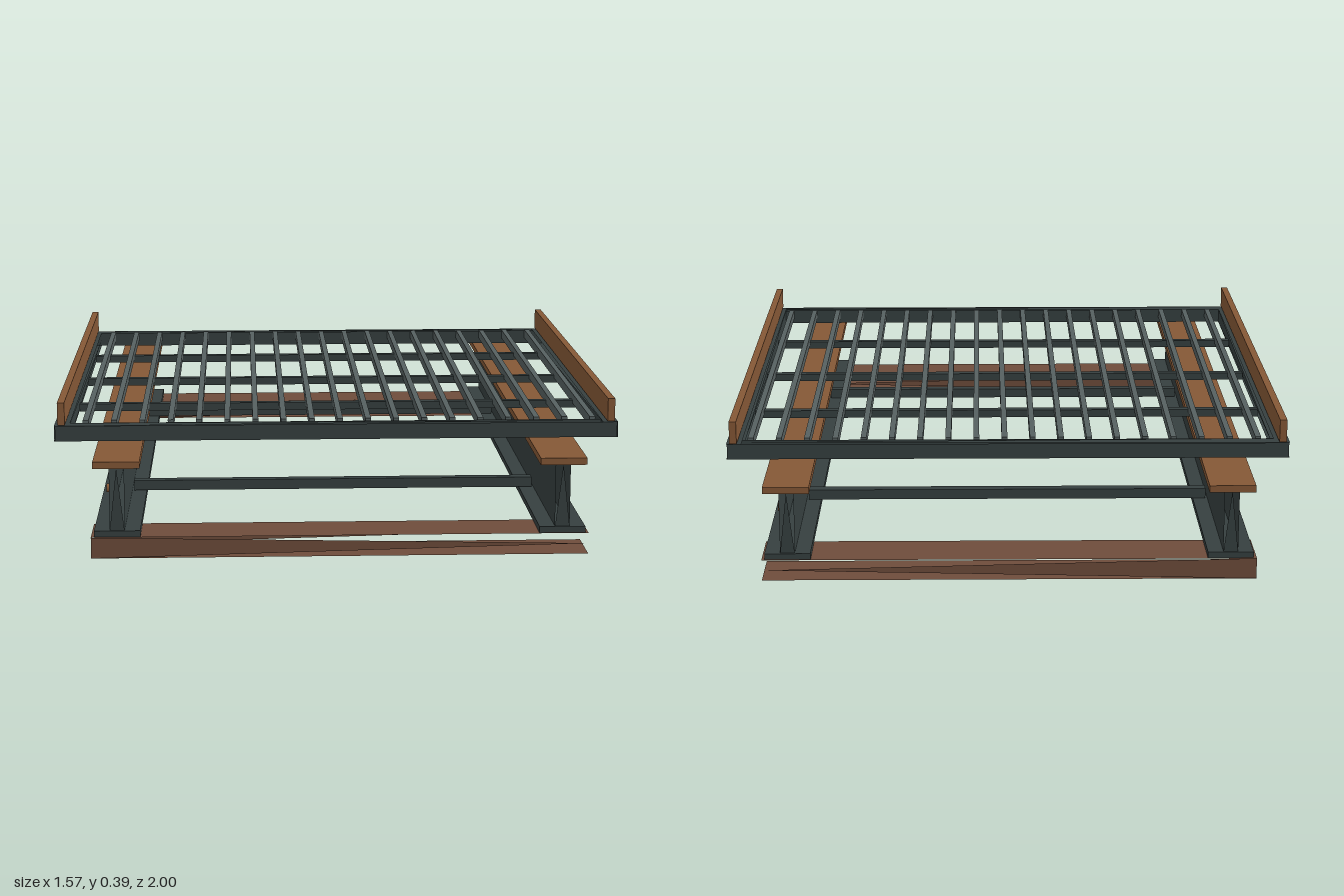
import * as THREE from 'three';

const mat = (name, color) => {
  const m = new THREE.MeshStandardMaterial({ color, side: THREE.DoubleSide });
  m.name = name;
  return m;
};

// Two parallel sheets (length x, gap y, width z) closed at the sides by long
// triangles; capped members also get a triangle over each end.
function openMember(length, gap, width, capped = false) {
  const a = length / 2, b = gap / 2, c = width / 2, pos = [];
  const tri = (...points) => points.forEach((p) => pos.push(...p));
  // upper and lower sheets
  tri([-a, b, c], [a, b, c], [a, b, -c], [-a, b, c], [a, b, -c], [-a, b, -c]);
  tri([-a, -b, -c], [a, -b, -c], [a, -b, c], [-a, -b, -c], [a, -b, c], [-a, -b, c]);
  // tapering sides
  tri([-a, b, c], [-a, -b, c], [a, 0, c]);
  tri([-a, -b, -c], [-a, b, -c], [a, 0, -c]);
  if (capped) {
    tri([a, b, c], [a, -b, 0], [a, b, -c]);
    tri([-a, b, -c], [-a, -b, 0], [-a, b, c]);
  }
  const g = new THREE.BufferGeometry();
  g.setAttribute('position', new THREE.Float32BufferAttribute(pos, 3));
  g.computeVertexNormals();
  return g;
}

export function createModel() {
  const steel = mat('dark steel', 0x364040);
  const slatSteel = mat('slat steel', 0x566060);
  const timber = mat('brown timber', 0x855836);
  const sleeperWood = mat('dull brown', 0x6e4c3b);

  const model = new THREE.Group();
  model.name = 'gratingPlatform';

  const add = (name, geometry, material, x, y, z) => {
    const mesh = new THREE.Mesh(geometry, material);
    mesh.name = name;
    mesh.position.set(x, y, z);
    model.add(mesh);
    return mesh;
  };
  // box given by its x and z centre, bottom and top height
  const box = (name, material, w, d, bottom, top, x, z) =>
    add(name, new THREE.BoxGeometry(w, top - bottom, d), material, x, (bottom + top) / 2, z);

  // sleepers under both ends
  for (const z of [-0.925, 0.925]) {
    add('sleeper', openMember(1.35, 0.058, 0.15), sleeperWood, 0, 0.029, z);
  }

  // the two long beams with their timber caps and bolts
  const webGeometry = openMember(0.174, 0.04, 1.98).rotateZ(Math.PI / 2);
  const boltGeometry = new THREE.CylinderGeometry(0.012, 0.012, 0.014, 8).rotateZ(Math.PI / 2);
  for (const side of [-1, 1]) {
    const x = side * 0.604;
    box('beamFoot', steel, 0.125, 1.99, 0.058, 0.075, x, 0);
    add('beamWeb', webGeometry, steel, x, 0.161, 0);
    box('beamCap', timber, 0.126, 2, 0.248, 0.267, x, 0);
    for (let i = -2; i <= 2; i++) {
      add('bolt', boltGeometry, timber, side * 0.632, 0.157, i * 0.42);
    }
  }

  // low ties between the beams
  for (const z of [-0.53, 0.525]) {
    box('lowerTie', steel, 1.155, 0.03, 0.077, 0.106, 0, z);
  }

  // grating frame
  const endRail = openMember(1.565, 0.042, 0.043, true).rotateX(Math.PI / 2);
  const sideRail = openMember(1.57, 0.043, 0.042).rotateY(Math.PI / 2);
  for (const side of [-1, 1]) {
    add('endRail', endRail, steel, 0, 0.299, side * 0.764);
    add('sideRail', sideRail, steel, side * 0.764, 0.299, 0);
    box('sideBoard', timber, 0.02, 1.575, 0.323, 0.387, side * 0.765, 0);
  }

  // bars below the slats
  for (const z of [-0.397, 0, 0.393]) {
    box('crossBar', steel, 1.48, 0.024, 0.284, 0.306, 0, z);
  }

  // slats
  for (let i = 0; i < 19; i++) {
    box('slat', slatSteel, 0.016, 1.47, 0.297, 0.325, -0.701 + i * 0.079, -0.004);
  }

  return model;
}
